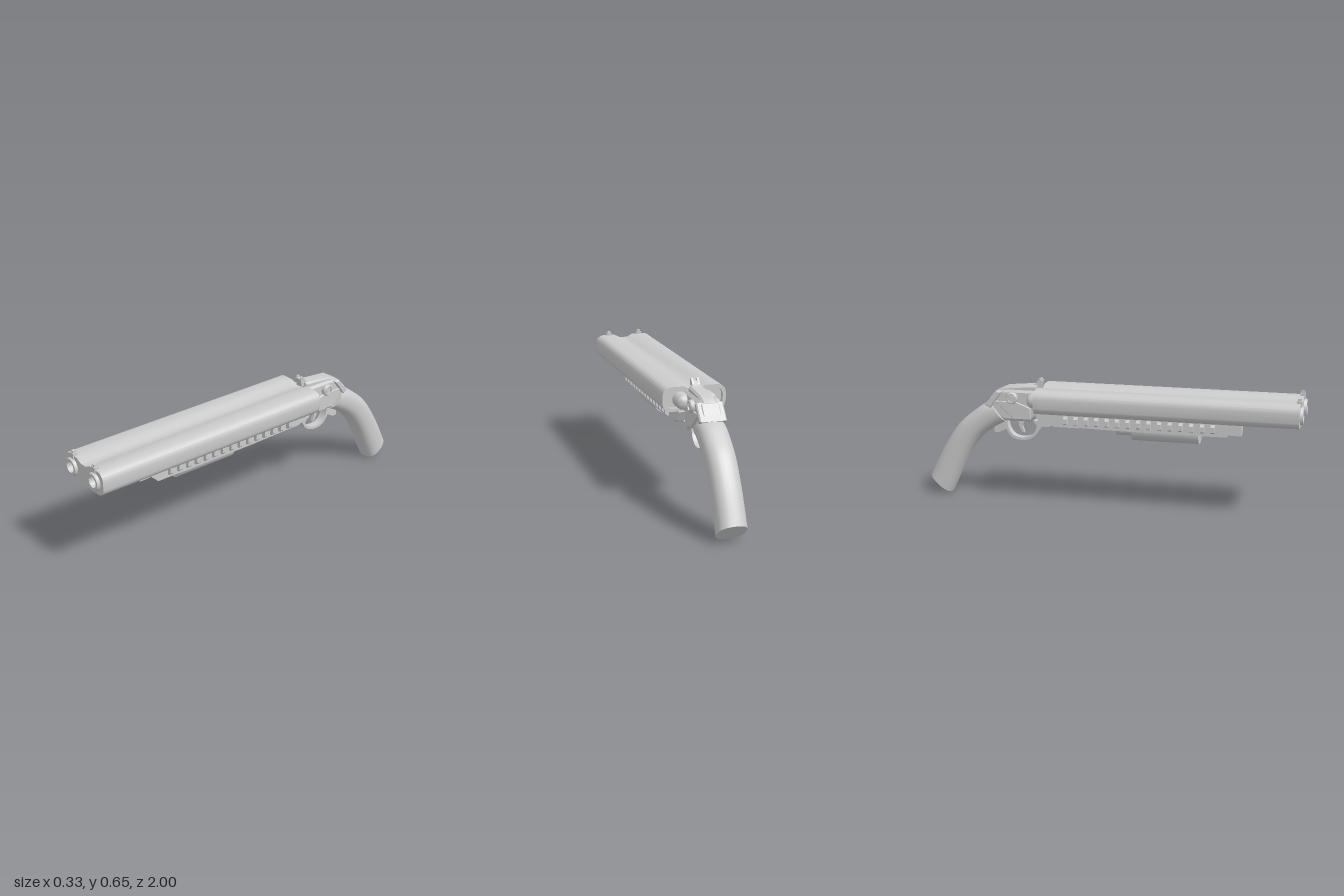
import * as THREE from 'three';
import { toCreasedNormals } from 'three/addons/utils/BufferGeometryUtils.js';

const material = new THREE.MeshStandardMaterial({ color: 0xcccccc, side: THREE.DoubleSide });

export function createModel() {
  const root = new THREE.Group();

  const add = (name, geometry, x = 0, y = 0, z = 0) => {
    const mesh = new THREE.Mesh(toCreasedNormals(geometry, 0.6), material);
    mesh.name = name;
    mesh.position.set(x, y, z);
    root.add(mesh);
    return mesh;
  };
  const box = (name, w, h, d, x, y, z) => add(name, new THREE.BoxGeometry(w, h, d), x, y, z);
  const toShape = (pts) => new THREE.Shape(pts.map((p) => new THREE.Vector2(p[0], p[1])));

  // Side profile in (z, y), extruded across x
  const side = (name, pts, width, x = 0, bevel = 0) => {
    const g = new THREE.ExtrudeGeometry(toShape(pts), {
      depth: width - 2 * bevel, bevelEnabled: bevel > 0, bevelSize: bevel,
      bevelThickness: bevel, bevelOffset: -bevel, bevelSegments: 1,
    });
    g.translate(0, 0, -(width - 2 * bevel) / 2).rotateY(-Math.PI / 2);
    return add(name, g, x);
  };

  // Front profile in (x, y), extruded from z0 to z1
  const along = (name, shape, z0, z1) => add(name, new THREE.ExtrudeGeometry(shape,
    { depth: z1 - z0, bevelEnabled: false, curveSegments: 14 }), 0, 0, z0);

  // Shroud outline: rounded box with a shallow valley along the top
  const shroudOutline = (inset) => {
    const w = 0.163 - inset, b = 0.488 + inset, t = 0.612 - inset, r = 0.042 - inset * 0.5;
    const s = new THREE.Shape();
    s.moveTo(-w + r, b);
    s.lineTo(w - r, b);
    s.quadraticCurveTo(w - 0.004, b + 0.004, w, b + r);
    s.lineTo(w, t - r);
    s.quadraticCurveTo(w - 0.004, t - 0.004, w - r, t);
    s.lineTo(0.055, t);
    s.lineTo(0.022, t - 0.017);
    s.lineTo(-0.022, t - 0.017);
    s.lineTo(-0.055, t);
    s.lineTo(-w + r, t);
    s.quadraticCurveTo(-w + 0.004, t - 0.004, -w, t - r);
    s.lineTo(-w, b + r);
    s.quadraticCurveTo(-w + 0.004, b + 0.004, -w + r, b);
    return s;
  };
  const shroud = shroudOutline(0);
  for (const x of [-0.094, 0.094]) {
    shroud.holes.push(new THREE.Path().absarc(x, 0.55, 0.046, 0, Math.PI * 2, true));
  }
  along('barrelShroud', shroud, -0.35, 0.985);
  const rim = shroudOutline(0);
  rim.holes.push(shroudOutline(0.016));
  along('shroudRearRim', rim, -0.375, -0.35);

  // Twin barrels with open bores, and a bead sight over each
  const barrel = [[0, -0.35], [0.047, -0.35], [0.047, 0.99], [0.042, 1], [0.029, 1], [0.029, 0.75], [0, 0.75]];
  for (const s of [-1, 1]) {
    const g = new THREE.LatheGeometry(barrel.map((p) => new THREE.Vector2(p[0], p[1])), 16);
    add('barrel', g.rotateX(Math.PI / 2), s * 0.094, 0.55, 0);
    box('frontSightBase', 0.028, 0.03, 0.026, s * 0.09, 0.61, 0.977);
    box('frontSightBead', 0.015, 0.014, 0.018, s * 0.09, 0.629, 0.977);
  }

  // Forend under the barrels, with ribs along both sides
  side('forend', [[0.69, 0.489], [0.69, 0.476], [0.628, 0.424], [0.62, 0.413], [0.05, 0.413], [-0.3, 0.42],
    [-0.315, 0.43], [-0.37, 0.44], [-0.395, 0.489]], 0.17);
  const ribProfile = toShape([[0.08, 0.475], [0.095, 0.475], [0.106, 0.468], [0.106, 0.442], [0.095, 0.431], [0.08, 0.431]]);
  for (let i = 0; i < 15; i++) {
    const z = 0.55 - i * 0.055;
    const g = new THREE.ExtrudeGeometry(ribProfile, { depth: 0.02, bevelEnabled: false });
    add('forendRib', g, 0, 0, z - 0.01);
    add('forendRib', g.clone().rotateZ(Math.PI).translate(0, 0.906, 0), 0, 0, z - 0.01);
  }
  box('forendNose', 0.048, 0.07, 0.06, 0, 0.443, 0.655);
  side('bellyPlate', [[-0.14, 0.43], [-0.15, 0.412], [-0.29, 0.412], [-0.305, 0.43]], 0.15);

  // Tube slung beneath the forend
  const tube = (name, r, z0, z1) => add(name,
    new THREE.CylinderGeometry(r, r, z1 - z0, 24).rotateX(Math.PI / 2), 0, 0.414, (z0 + z1) / 2);
  tube('underTube', 0.063, 0.12, 0.47);
  tube('underTubeTail', 0.04, 0.035, 0.12);

  // Receiver with stepped upper rib
  side('receiver', [[-0.36, 0.59], [-0.36, 0.49], [-0.42, 0.425], [-0.57, 0.425], [-0.62, 0.45],
    [-0.665, 0.51], [-0.645, 0.545], [-0.615, 0.58], [-0.55, 0.59]], 0.105, 0, 0.012);
  side('receiverRib', [[-0.39, 0.58], [-0.39, 0.618], [-0.44, 0.616], [-0.56, 0.605], [-0.605, 0.585],
    [-0.66, 0.515], [-0.62, 0.5]], 0.075, 0, 0.01);
  side('receiverTang', [[-0.575, 0.58], [-0.605, 0.584], [-0.672, 0.508], [-0.64, 0.49]], 0.135, 0, 0.006);
  for (const s of [-1, 1]) {
    side('sidePlate', [[-0.42, 0.5], [-0.42, 0.437], [-0.51, 0.437], [-0.585, 0.5], [-0.62, 0.53], [-0.5, 0.53]],
      0.014, s * 0.055, 0.003);
    // Rounded boss at the back of each barrel
    const boss = [[0, -0.065], [0.022, -0.061], [0.035, -0.05], [0.04, -0.035], [0.04, 0.03], [0, 0.03]];
    const g = new THREE.LatheGeometry(boss.map((p) => new THREE.Vector2(p[0], p[1])), 16);
    add('breechBoss', g.rotateX(Math.PI / 2), s * 0.066, 0.543, -0.37);
    // Pivot bolt with a raised centre
    const bolt = [[0, 0.022], [0.013, 0.022], [0.013, 0.017], [0.02, 0.017], [0.02, 0.026], [0.026, 0.026], [0.031, 0.02], [0.031, 0]];
    const b = new THREE.LatheGeometry(bolt.map((p) => new THREE.Vector2(p[0], p[1])), 16);
    add('pivotBolt', b.rotateZ(-s * Math.PI / 2), s * 0.05, 0.55, -0.52);
  }

  // Notched rear sight
  side('rearSight', [[-0.375, 0.595], [-0.365, 0.64], [-0.385, 0.64], [-0.41, 0.618], [-0.44, 0.605]], 0.04);
  for (const s of [-1, 1]) {
    side('rearSightPost', [[-0.368, 0.625], [-0.37, 0.645], [-0.38, 0.654], [-0.395, 0.635], [-0.405, 0.62]], 0.011, s * 0.0145);
  }

  // Trigger guard: flat band swept as a closed loop in the side plane
  const loop = new THREE.CatmullRomCurve3([[-0.385, 0.425], [-0.387, 0.375], [-0.42, 0.333], [-0.475, 0.316],
    [-0.53, 0.326], [-0.562, 0.36], [-0.58, 0.42]].map((p) => new THREE.Vector3(p[0], p[1], 0)));
  const outer = loop.getPoints(28);
  const inner = outer.map((p) => new THREE.Vector3(-0.482 + (p.x + 0.482) * 0.85, 0.425 + (p.y - 0.425) * 0.87, 0));
  side('triggerGuard', [...outer, ...inner.reverse()].map((p) => [p.x, p.y]), 0.042);
  side('guardFrontLug', [[-0.325, 0.43], [-0.325, 0.403], [-0.385, 0.396], [-0.41, 0.43]], 0.09);
  side('guardRearTang', [[-0.56, 0.43], [-0.565, 0.375], [-0.61, 0.35], [-0.635, 0.352], [-0.625, 0.44]], 0.042);
  side('trigger', [[-0.47, 0.43], [-0.482, 0.39], [-0.47, 0.355], [-0.483, 0.358], [-0.5, 0.39], [-0.505, 0.43]], 0.016);

  // Curved grip: oval sections spanning upper and lower edge curves
  const edge = (pts) => new THREE.CatmullRomCurve3(pts.map((p) => new THREE.Vector3(0, p[1], p[0])));
  const upper = edge([[-0.64, 0.515], [-0.69, 0.5], [-0.755, 0.455], [-0.83, 0.39], [-0.92, 0.257], [-1, 0.1]]);
  const lower = edge([[-0.565, 0.415], [-0.615, 0.388], [-0.675, 0.35], [-0.73, 0.295], [-0.79, 0.205], [-0.887, 0.002]]);
  const rows = 20, sides = 28, pos = [], idx = [];
  const soften = (v) => Math.sign(v) * Math.abs(v) ** 0.82;
  for (let i = 0; i <= rows; i++) {
    const a = upper.getPoint(i / rows), b = lower.getPoint(i / rows);
    const mid = a.clone().add(b).multiplyScalar(0.5), half = a.sub(b).multiplyScalar(0.5);
    for (let j = 0; j < sides; j++) {
      const t = (j / sides) * Math.PI * 2, k = soften(Math.sin(t));
      pos.push(0.003 + 0.073 * soften(Math.cos(t)), mid.y + half.y * k, mid.z + half.z * k);
      if (i < rows) {
        const p = i * sides + j, q = i * sides + (j + 1) % sides;
        idx.push(p, q, p + sides, q, q + sides, p + sides);
      }
    }
  }
  for (let j = 1; j < sides - 1; j++) {
    const e = rows * sides;
    idx.push(0, j + 1, j, e, e + j, e + j + 1);
  }
  const grip = new THREE.BufferGeometry();
  grip.setAttribute('position', new THREE.Float32BufferAttribute(pos, 3));
  grip.setIndex(idx);
  add('grip', grip);

  return root;
}
